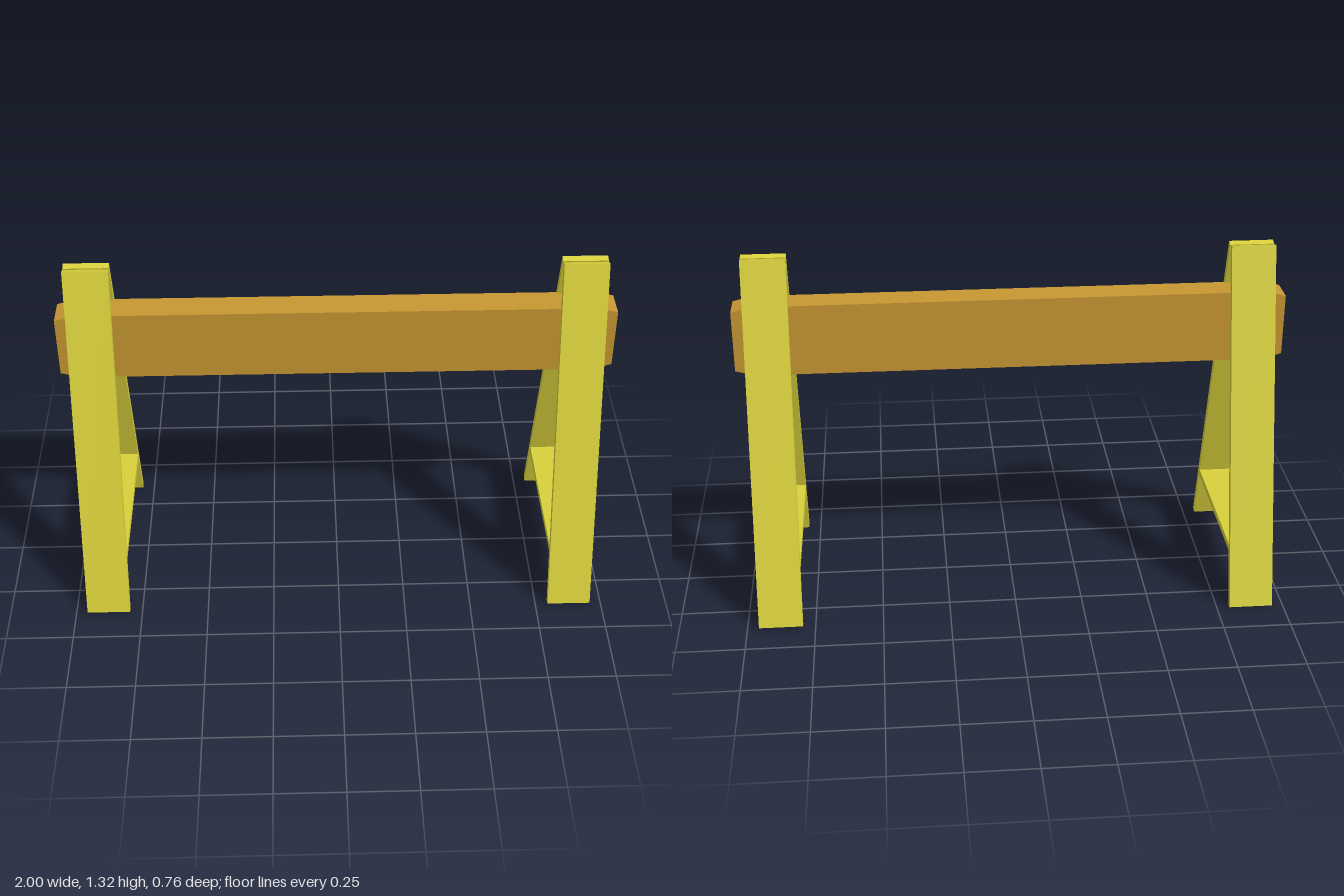
import * as THREE from 'three';

export function createModel() {
  const model = new THREE.Group();
  model.name = 'aFrameBarrier';
  const yellow = new THREE.MeshStandardMaterial({ color: 0xd8d03a });
  const orange = new THREE.MeshStandardMaterial({ color: 0xc79632 });

  // Crossbeam: a plank whose ends taper slightly at top and bottom
  const top = 1.146, bottom = 0.88, depth = 0.108;
  const profile = new THREE.Shape([
    [-0.93, bottom], [0.93, bottom], [1, 0.9], [1, 1.128],
    [0.93, top], [-0.93, top], [-1, 1.128], [-1, 0.9],
  ].map(([x, y]) => new THREE.Vector2(x, y)));
  const beamGeometry = new THREE.ExtrudeGeometry(profile, { depth, bevelEnabled: false });
  beamGeometry.translate(0, 0, -depth / 2);
  const beam = new THREE.Mesh(beamGeometry, orange);
  beam.name = 'crossbeam';
  model.add(beam);

  // Trestles: two leaning legs joined by a low stretcher
  const width = 0.161, thickness = 0.025, lean = Math.PI / 12;
  const legGeometry = new THREE.BoxGeometry(width, 1.355, thickness);
  const stretcherGeometry = new THREE.BoxGeometry(width, thickness, 0.6);
  for (const side of [1, -1]) {
    const trestle = new THREE.Group();
    trestle.name = side > 0 ? 'leftTrestle' : 'rightTrestle';
    trestle.position.x = side * 0.877;

    for (const face of [1, -1]) {
      const leg = new THREE.Mesh(legGeometry, yellow);
      leg.name = face > 0 ? 'frontLeg' : 'backLeg';
      leg.position.set(0, 0.658, face * 0.191);
      leg.rotation.x = -face * lean;
      trestle.add(leg);
    }

    const stretcher = new THREE.Mesh(stretcherGeometry, yellow);
    stretcher.name = 'stretcher';
    stretcher.position.y = 0.22;
    trestle.add(stretcher);
    model.add(trestle);
  }
  return model;
}
